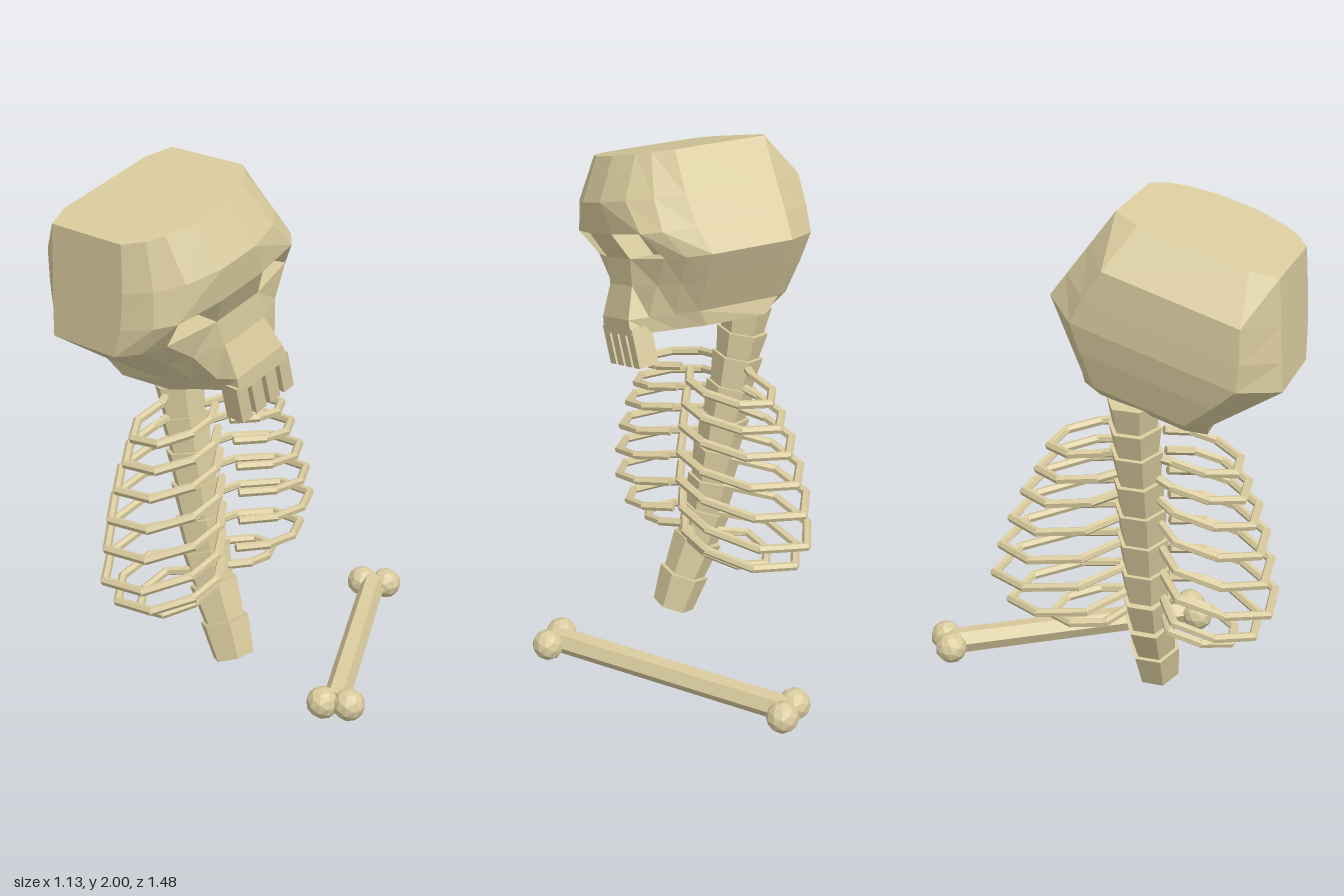
import * as THREE from 'three';
import { mergeGeometries } from 'three/addons/utils/BufferGeometryUtils.js';

const boneMat = new THREE.MeshStandardMaterial({ color: 0xd9cb9e, flatShading: true });
const V = (x, y, z) => new THREE.Vector3(x, y, z);

function add(parent, name, geometry) {
  const m = new THREE.Mesh(geometry, boneMat);
  m.name = name;
  parent.add(m);
  return m;
}

// Straight prism from a to b
function bar(a, b, rStart, rEnd, sides) {
  const d = b.clone().sub(a);
  const g = new THREE.CylinderGeometry(rEnd, rStart, d.length(), sides);
  g.applyQuaternion(new THREE.Quaternion().setFromUnitVectors(V(0, 1, 0), d.normalize()));
  const c = a.clone().add(b).multiplyScalar(0.5);
  return g.translate(c.x, c.y, c.z);
}

// Skull half-sections: height, then [forward, sideways] from back to brow centre
const skullRings = [
  [0.33, [[-0.46, 0.2], [-0.415, 0.297], [-0.05, 0.297], [0.02, 0.245], [0.06, 0.19], [0.1, 0.075]]],
  [0.17, [[-0.562, 0.25], [-0.41, 0.355], [-0.04, 0.355], [0.06, 0.3], [0.135, 0.215], [0.178, 0.08]]],
  [0.05, [[-0.56, 0.285], [-0.41, 0.398], [-0.05, 0.398], [0.065, 0.345], [0.125, 0.285], [0.158, 0.1]]],
  [-0.05, [[-0.555, 0.305], [-0.405, 0.434], [-0.08, 0.434], [0.0, 0.375], [0.05, 0.3], [0.1, 0.105]]],
  [-0.15, [[-0.53, 0.245], [-0.412, 0.346], [-0.085, 0.346], [-0.01, 0.285], [0.055, 0.21], [0.105, 0.1]]],
  [-0.27, [[-0.49, 0.17], [-0.42, 0.24], [-0.09, 0.24], [-0.01, 0.195], [0.075, 0.15], [0.146, 0.118]]],
  [-0.33, [[-0.4, 0.16], [-0.36, 0.235], [-0.12, 0.22], [-0.02, 0.17], [0.065, 0.135], [0.146, 0.125]]],
];

function skullGeometry() {
  const rings = skullRings.map(([u, half]) => [
    ...half.map(([x, l]) => V(x, u, -l)),
    ...half.slice().reverse().map(([x, l]) => V(x, u, l)),
  ]);
  const n = rings[0].length, pos = [];
  const quad = (a, b, c, d) => {
    for (const p of [a, b, c, a, c, d]) pos.push(p.x, p.y, p.z);
  };
  for (let r = 0; r < rings.length - 1; r++) {
    for (let i = 0; i < n; i++) {
      const j = (i + 1) % n;
      const q = [rings[r][i], rings[r][j], rings[r + 1][j], rings[r + 1][i]];
      if (r === 2 && (i === 4 || i === 6)) {
        // Eye socket: walls and floor of a pit
        const inner = q.map(p => V(p.x - 0.1, p.y, p.z * 0.95));
        for (let k = 0; k < 4; k++) {
          const m = (k + 1) % 4;
          quad(q[k], q[m], inner[m], inner[k]);
        }
        quad(...inner);
      } else if (i < n / 2) quad(q[1], q[2], q[3], q[0]); // diagonals mirror across the face
      else quad(...q);
    }
  }
  // Crown and base
  const top = rings[0], base = rings[rings.length - 1];
  for (let i = 0; i < n / 2 - 1; i++) {
    quad(top[n - 1 - i], top[n - 2 - i], top[i + 1], top[i]);
    quad(base[i], base[i + 1], base[n - 2 - i], base[n - 1 - i]);
  }
  const g = new THREE.BufferGeometry();
  g.setAttribute('position', new THREE.Float32BufferAttribute(pos, 3));
  g.computeVertexNormals();
  return g;
}

// Backbone centre line
const spine = [[-0.065, 0.07], [-0.115, 0.21], [-0.175, 0.35], [-0.215, 0.48], [-0.24, 0.61], [-0.265, 0.74],
  [-0.29, 0.87], [-0.32, 1.0], [-0.345, 1.12], [-0.365, 1.22], [-0.38, 1.32]];
const spineZ = 0.2;
function spineX(y) {
  let k = 0;
  while (k < spine.length - 2 && spine[k + 1][1] < y) k++;
  const [a, b] = [spine[k], spine[k + 1]];
  return a[0] + (b[0] - a[0]) * (y - a[1]) / (b[1] - a[1]);
}

// Each rib pair: root height, width scale, reach towards +z, reach towards -z
const ribs = [[1.108, 0.64, 0.335, 0.345], [1.022, 0.76, 0.365, 0.385], [0.938, 0.86, 0.405, 0.435],
  [0.835, 0.95, 0.435, 0.48], [0.728, 1, 0.455, 0.52], [0.612, 0.97, 0.475, 0.55],
  [0.496, 0.87, 0.42, 0.495], [0.42, 0.6, 0.33, 0.345]];
// Rib outline: forward offset, share of the reach
const ribPath = [[-0.2, 0.36], [-0.21, 0.72], [-0.1, 1], [0.09, 0.95], [0.205, 0.63], [0.21, 0.33], [0.13, 0.1]];

function ribGeometry([y, width, reachPlus, reachMinus], side) {
  const [reach, drop, lift] = side > 0 ? [reachPlus, 0.25, 0.03] : [reachMinus, 0.11, 0.1];
  const pts = [V(spineX(y), y - 0.01, spineZ + side * 0.06)];
  for (const [x, t] of ribPath) {
    const a = t * reach, fx = x * width;
    pts.push(V(-0.2 + fx + side * 0.1 * a, y - drop * a + lift * fx, spineZ + side * a));
  }
  const parts = [];
  for (let i = 0; i < pts.length - 1; i++) {
    const over = pts[i + 1].clone().sub(pts[i]).setLength(0.005);
    parts.push(bar(pts[i].clone().sub(over), pts[i + 1].clone().add(over), 0.017, 0.017, 6));
  }
  return mergeGeometries(parts);
}

export function createModel() {
  const model = new THREE.Group();
  model.name = 'skeletonRemains';

  // Tilted skull facing +x
  const head = new THREE.Group();
  head.name = 'head';
  head.position.set(0, 1.6, 0.335);
  head.rotation.x = THREE.MathUtils.degToRad(17);
  model.add(head);
  add(head, 'skull', skullGeometry());
  for (let i = 0; i < 4; i++) {
    const tooth = add(head, 'tooth', new THREE.BoxGeometry(0.08, 0.15, 0.052));
    tooth.position.set(0.1, -0.377, (i - 1.5) * 0.072);
    tooth.rotation.z = -0.08;
  }

  // Tapered vertebrae
  const backbone = new THREE.Group();
  backbone.name = 'backbone';
  model.add(backbone);
  for (let i = 0; i < spine.length - 1; i++) {
    const [a, b] = [spine[i], spine[i + 1]];
    add(backbone, 'vertebra', bar(V(a[0], a[1], spineZ), V(b[0], b[1], spineZ), 0.083, 0.099, 6));
  }

  // Ribs on both sides
  const cage = new THREE.Group();
  cage.name = 'ribcage';
  model.add(cage);
  for (const rib of ribs) for (const side of [1, -1]) add(cage, 'rib', ribGeometry(rib, side));

  // Loose bone on the ground
  const loose = new THREE.Group();
  loose.name = 'looseBone';
  model.add(loose);
  add(loose, 'shaft', bar(V(-0.11, 0.065, -0.65), V(0.46, 0.065, 0.185), 0.05, 0.05, 6));
  for (const [x, z] of [[-0.153, -0.63], [-0.072, -0.685], [0.423, 0.212], [0.503, 0.157]]) {
    add(loose, 'knuckle', new THREE.IcosahedronGeometry(0.062, 1)).position.set(x, 0.064, z);
  }
  return model;
}
